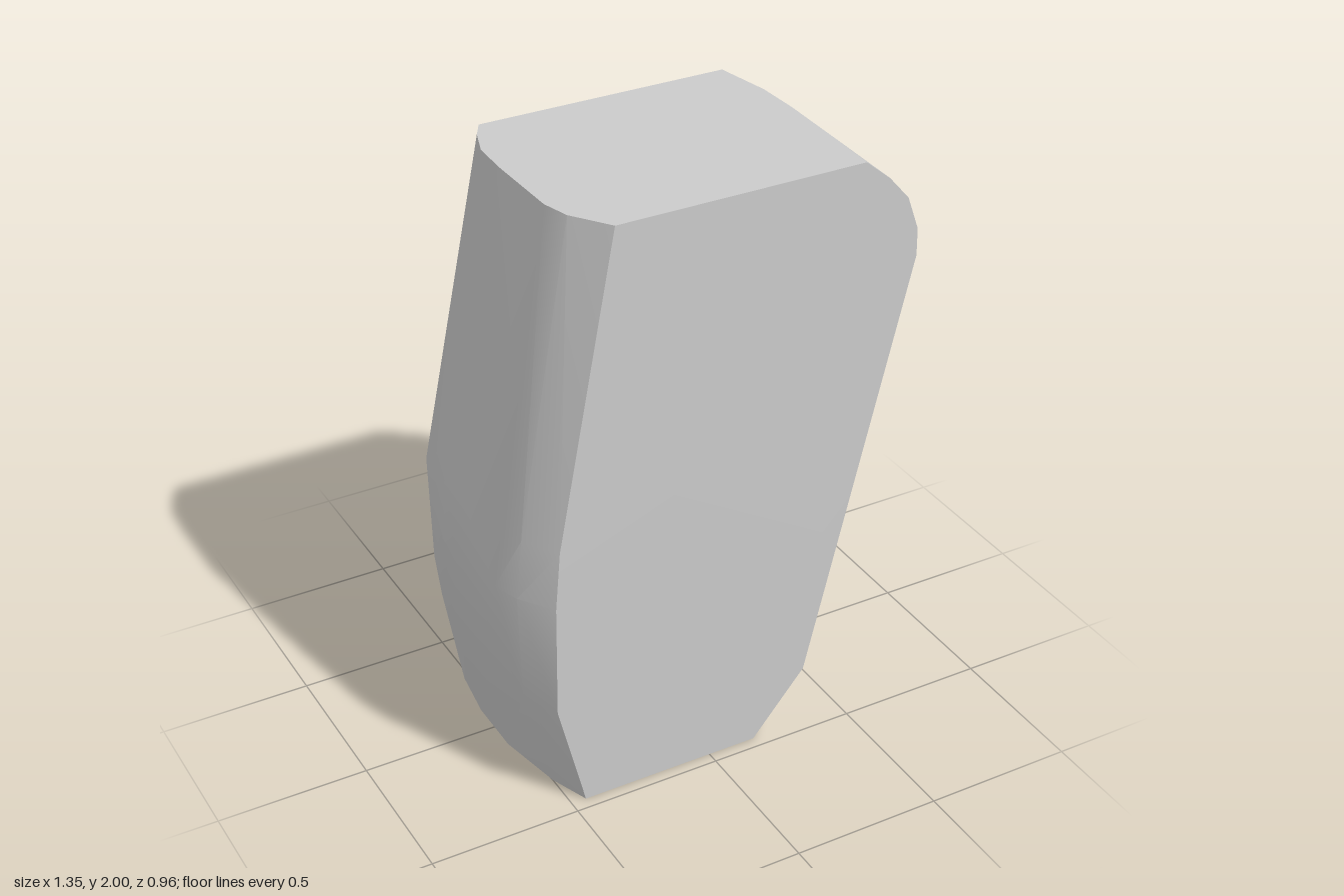
import * as THREE from 'three';
import { ConvexGeometry } from 'three/addons/geometries/ConvexGeometry.js';
import { toCreasedNormals } from 'three/addons/utils/BufferGeometryUtils.js';

// Horizontal cross-sections of the stone's bulging left side: [x, z] at height y
const leftSections = [
  { y: 0, pts: [[-0.45, 0.46], [-0.5, 0.33], [-0.545, 0.1], [-0.545, -0.1], [-0.52, -0.28], [-0.455, -0.48]] },
  { y: 0.38, pts: [[-0.545, 0.465], [-0.6, 0.34], [-0.632, 0.1], [-0.632, -0.08], [-0.59, -0.27], [-0.52, -0.48]] },
  { y: 0.77, pts: [[-0.545, 0.47], [-0.62, 0.36], [-0.65, 0.27], [-0.68, 0.06], [-0.68, -0.03], [-0.63, -0.2], [-0.53, -0.48]] },
  { y: 0.97, pts: [[-0.53, 0.472], [-0.6, 0.36], [-0.655, 0.08], [-0.655, -0.05], [-0.61, -0.2], [-0.48, -0.48]] },
  { y: 2, pts: [[-0.345, 0.48], [-0.43, 0.36], [-0.455, 0.27], [-0.46, 0], [-0.455, -0.13], [-0.42, -0.23], [-0.385, -0.29]] },
];

// Rounded upper shoulder on the right: front outline and back outline, [x, y]
const frontShoulder = [[0.475, 2], [0.56, 1.93], [0.63, 1.85], [0.67, 1.74], [0.672, 1.65]];
const backShoulder = [[0.45, 2], [0.54, 1.87], [0.605, 1.74], [0.61, 1.65]];

// Corners of the foot and the back ridge on the right, [x, y, z]
const rightCorners = [
  [0.345, 0.22, 0.462], [0.165, 0, 0.46],
  [0.41, 0, 0.14], [0.405, 0, 0],
  [0.16, 0, -0.48], [0.21, 0.4, -0.48], [0.2, 0.97, -0.48],
  [0.485, 2, -0.1], [0.49, 2, 0.05], [0.485, 2, 0.25],
];

export function createModel() {
  const points = [];
  const add = (x, y, z) => points.push(new THREE.Vector3(x, y, z));

  for (const { y, pts } of leftSections) for (const [x, z] of pts) add(x, y, z);
  for (const [x, y] of frontShoulder) add(x, y, 0.48);
  for (const [x, y] of backShoulder) add(x, y, -0.29);
  for (const c of rightCorners) add(...c);

  // Wrap the points, keeping the main edges sharp and the bulge soft
  const geometry = toCreasedNormals(new ConvexGeometry(points), 0.3);
  const stone = new THREE.Mesh(geometry, new THREE.MeshStandardMaterial({ color: 0xcccccc }));
  stone.name = 'stone';

  const group = new THREE.Group();
  group.name = 'standingStone';
  group.add(stone);
  return group;
}
